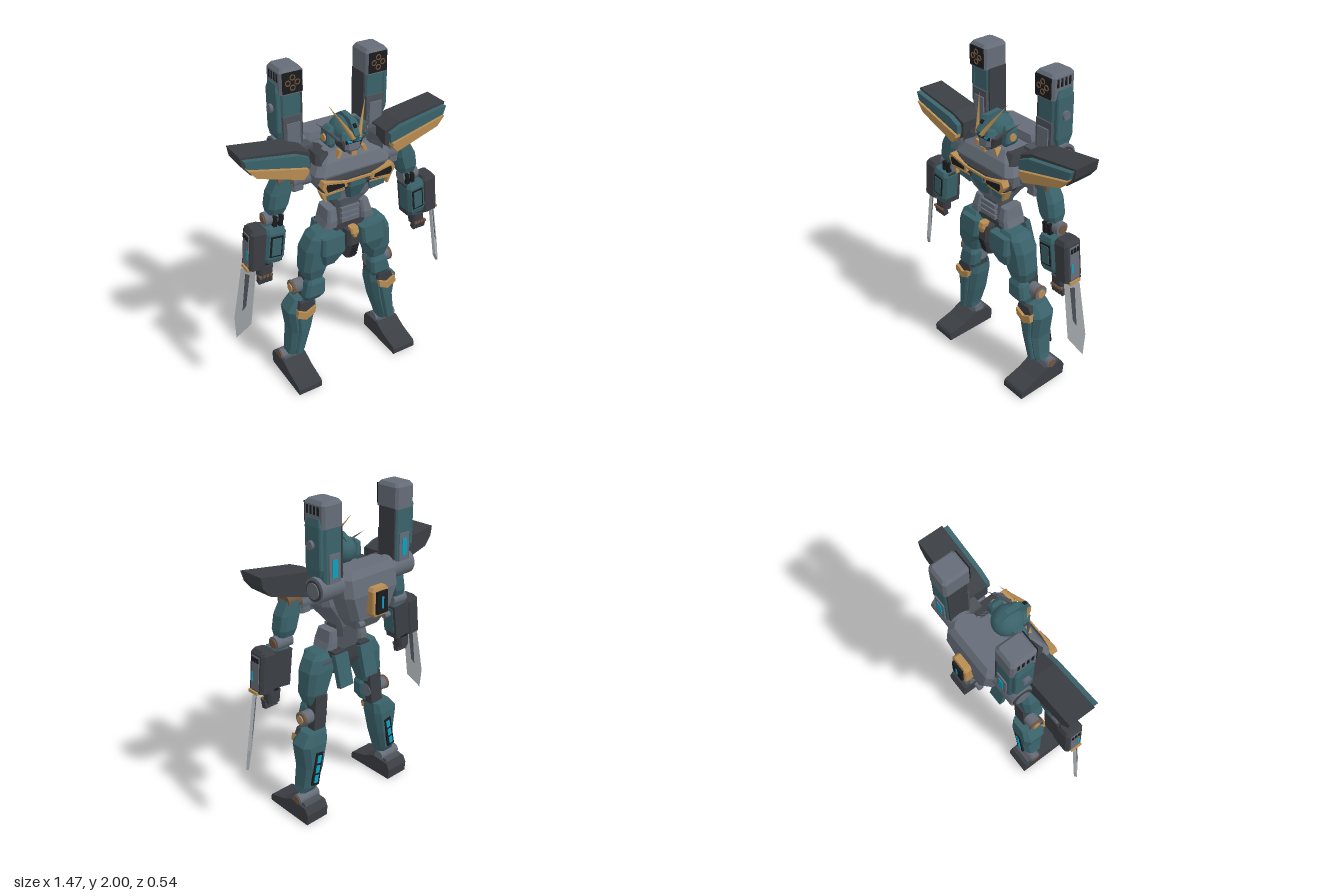
import * as THREE from 'three';

const M = {};
for (const [name, hex] of Object.entries({
  teal: 0x3a626a, steel: 0x666d78, charcoal: 0x3b3e43, black: 0x191b1e, gold: 0xb98d52,
  bronze: 0x75543c, cyan: 0x0aa0c0, silver: 0xa9aeb1, gunmetal: 0x4d525a,
})) {
  M[name] = new THREE.MeshStandardMaterial({ color: hex });
  M[name].name = name;
}

export function createModel() {
  const model = new THREE.Group();
  model.name = 'robot';
  const half = new THREE.Group(); // parts on the +x side, mirrored at the end
  let target = model;

  function add(name, mat, geo, x = 0, y = 0, z = 0, rx = 0, ry = 0, rz = 0) {
    const mesh = new THREE.Mesh(geo, M[mat]);
    mesh.name = name;
    mesh.position.set(x, y, z);
    mesh.rotation.set(rx, ry, rz, 'ZYX');
    target.add(mesh);
    return mesh;
  }
  const box = (name, mat, w, h, d, ...at) => add(name, mat, new THREE.BoxGeometry(w, h, d), ...at);

  // Chamfered rectangular sections, bottom to top: [y, x0, x1, z0, z1]
  function loft(name, mat, rings, cut = 0.2, ...at) {
    const loops = rings.map(([y, x0, x1, z0, z1]) => {
      const c = cut * Math.min(x1 - x0, z1 - z0);
      return [[x1, z0 + c], [x1, z1 - c], [x1 - c, z1], [x0 + c, z1],
        [x0, z1 - c], [x0, z0 + c], [x0 + c, z0], [x1 - c, z0]].map(([x, z]) => [x, y, z]);
    });
    const pos = [];
    const tri = (...p) => p.forEach(v => pos.push(...v));
    for (let r = 0; r + 1 < loops.length; r++) {
      const a = loops[r], b = loops[r + 1];
      for (let i = 0; i < 8; i++) {
        const j = (i + 1) % 8;
        tri(a[i], b[i], a[j]);
        tri(a[j], b[i], b[j]);
      }
    }
    const lo = loops[0], hi = loops[loops.length - 1];
    for (let i = 1; i < 7; i++) {
      tri(lo[0], lo[i], lo[i + 1]);
      tri(hi[0], hi[i + 1], hi[i]);
    }
    const g = new THREE.BufferGeometry();
    g.setAttribute('position', new THREE.Float32BufferAttribute(pos, 3));
    g.computeVertexNormals();
    return add(name, mat, g, ...at);
  }
  // Outline in x,y extruded from z0 to z1
  const outline = (pts, depth) => new THREE.ExtrudeGeometry(
    new THREE.Shape(pts.map(p => new THREE.Vector2(...p))), { depth, bevelEnabled: false });
  const plate = (name, mat, pts, z0, z1) => add(name, mat, outline(pts, z1 - z0), 0, 0, z0);
  // Outline in z,y extruded from x0 to x1
  const side = (name, mat, pts, x0, x1) =>
    add(name, mat, outline(pts, x1 - x0).rotateY(-Math.PI / 2), x1);
  // Cylinder along x
  const axle = (name, mat, r, x0, x1, y, z, n = 20) => add(name, mat,
    new THREE.CylinderGeometry(r, r, x1 - x0, n).rotateZ(Math.PI / 2), (x0 + x1) / 2, y, z);

  // Torso
  loft('chest', 'steel', [[1.18, -.07, .07, 0, .13], [1.25, -.12, .12, -.02, .17], [1.36, -.22, .22, -.05, .19],
    [1.44, -.24, .24, -.05, .2], [1.5, -.2, .2, -.05, .17], [1.54, -.14, .14, -.05, .12]], .14);
  loft('chestShelf', 'charcoal', [[1.33, -.2, .2, .1, .2], [1.36, -.22, .22, .1, .22], [1.41, -.22, .22, .1, .22], [1.43, -.2, .2, .1, .2]]);
  loft('chestPanel', 'teal', [[1.26, -.045, .045, .1, .19], [1.35, -.075, .075, .1, .225], [1.39, -.06, .06, .1, .225]]);
  box('chestBrow', 'gold', .17, .012, .02, 0, 1.395, .222);
  loft('neck', 'charcoal', [[1.5, -.05, .05, .02, .12], [1.58, -.04, .04, .03, .11]]);
  loft('abdomen', 'gunmetal', [[1.04, -.1, .1, 0, .12], [1.12, -.075, .075, 0, .14], [1.2, -.08, .08, 0, .13]]);
  for (const y of [1.09, 1.125, 1.16]) box('abdomenRib', 'steel', .12, .026, .03, 0, y, .135);

  // Pelvis and crotch guard
  loft('pelvis', 'charcoal', [[.88, -.05, .05, .02, .12], [.96, -.13, .13, 0, .13], [1.06, -.13, .13, 0, .13]]);
  loft('crotchGuard', 'charcoal', [[.83, -.035, .035, .1, .17], [.93, -.045, .045, .1, .2], [1.03, -.04, .04, .1, .19]]);
  loft('crotchCrest', 'gold', [[.99, -.012, .012, .17, .205], [1.02, -.025, .025, .17, .21], [1.05, -.025, .025, .15, .2]]);
  for (let i = 0; i < 4; i++) box('crotchVent', 'black', .045, .012, .008, 0, .86 + i * .023, .182 + i * .006);

  // Head
  const helmet = add('helmet', 'teal', new THREE.SphereGeometry(.085, 24, 16), 0, 1.625, .07);
  helmet.scale.set(1, 1, 1.08);
  loft('face', 'steel', [[1.52, -.025, .025, .08, .17], [1.55, -.05, .05, .06, .18], [1.61, -.055, .055, .06, .17]]);
  box('chin', 'gold', .035, .022, .03, 0, 1.525, .165);
  box('visor', 'black', .1, .024, .01, 0, 1.6, .172);
  loft('helmetBrow', 'teal', [[1.612, -.07, .07, .07, .185], [1.64, -.06, .06, .06, .17], [1.66, -.04, .04, .06, .14]]);
  side('helmetCrest', 'teal', [[.2, 1.61], [.21, 1.645], [.15, 1.72], [.06, 1.73], [0, 1.69], [.06, 1.66]], -.016, .016);
  box('crestCamera', 'black', .018, .024, .008, 0, 1.69, .18, -.85);

  // Backpack
  loft('backpack', 'steel', [[1.23, -.09, .09, -.16, -.03], [1.3, -.14, .14, -.2, -.03], [1.45, -.2, .2, -.215, -.03],
    [1.55, -.2, .2, -.2, -.03], [1.59, -.17, .17, -.17, -.04]]);
  loft('thrusterFrame', 'gold', [[1.32, -.045, .045, -.25, -.2], [1.34, -.06, .06, -.255, -.2], [1.47, -.06, .06, -.255, -.2], [1.49, -.045, .045, -.25, -.2]], .1);
  box('thrusterCore', 'black', .08, .13, .03, 0, 1.405, -.255);
  box('thrusterGlow', 'cyan', .012, .07, .006, 0, 1.405, -.271);

  target = half;
  // Chest vents and collar
  plate('chestVent', 'gold', [[.075, 1.37], [.085, 1.405], [.22, 1.43], [.235, 1.4], [.21, 1.36]], .19, .235);
  plate('chestVentSlot', 'black', [[.095, 1.377], [.1, 1.395], [.205, 1.415], [.21, 1.395], [.2, 1.37]], .235, .24);
  plate('chestRib', 'gold', [[.08, 1.35], [.2, 1.345], [.23, 1.36], [.205, 1.3], [.195, 1.3], [.2, 1.335], [.08, 1.34]], .17, .215);
  plate('chestLower', 'teal', [[.085, 1.335], [.195, 1.33], [.19, 1.29], [.1, 1.28]], .13, .195);
  box('collar', 'gold', .02, .07, .04, .085, 1.515, .14, 0, 0, .4);
  loft('collarGuard', 'charcoal', [[1.49, .1, .22, -.02, .16], [1.54, .12, .2, -.02, .12]]);
  box('collarBar', 'gunmetal', .1, .06, .08, .22, 1.53, -.01);
  axle('backNozzle', 'steel', .018, .08, .12, 1.28, -.2);

  // Head details
  loft('earPod', 'teal', [[1.555, .08, .11, .04, .11], [1.58, .08, .13, .03, .12], [1.65, .08, .125, .03, .11], [1.67, .08, .1, .04, .1]]);
  axle('earDisc', 'gold', .022, .12, .136, 1.61, .075);
  plate('eye', 'cyan', [[.012, 1.594], [.014, 1.602], [.046, 1.61], [.04, 1.595]], .176, .181);
  loft('cheek', 'charcoal', [[1.535, .03, .05, .07, .16], [1.6, .05, .075, .06, .16]]);
  const horn = (name, mat, r, a, b) => {
    const d = new THREE.Vector3(...b).sub(new THREE.Vector3(...a));
    const m = add(name, mat, new THREE.ConeGeometry(r, d.length(), 4), ...a.map((v, i) => (v + b[i]) / 2));
    m.quaternion.setFromUnitVectors(new THREE.Vector3(0, 1, 0), d.normalize());
  };
  horn('crestHorn', 'gold', .016, [.015, 1.625, .2], [.115, 1.8, .1]);
  horn('sideHorn', 'gunmetal', .013, [.08, 1.61, .15], [.17, 1.7, .06]);

  // Back cannon
  axle('cannonPivot', 'steel', .072, .15, .35, 1.52, -.105, 24);
  axle('pivotRing', 'charcoal', .058, .35, .357, 1.52, -.105, 24);
  axle('pivotCap', 'steel', .046, .357, .363, 1.52, -.105, 24);
  loft('cannonBody', 'teal', [[1.54, .2, .325, -.165, -.03], [1.88, .2, .325, -.165, -.03]], .1);
  loft('cannonHead', 'steel', [[1.86, .195, .335, -.17, -.01], [1.98, .195, .335, -.17, -.01], [2, .21, .32, -.155, -.025]], .1);
  loft('cannonOuterPlate', 'teal', [[1.6, .32, .345, -.14, -.05], [1.64, .32, .35, -.155, -.035], [1.87, .32, .35, -.155, -.035], [1.91, .32, .34, -.14, -.05]]);
  box('cannonInnerPlate', 'charcoal', .01, .31, .12, .198, 1.71, -.098);
  box('cannonLowerFront', 'gunmetal', .115, .2, .02, .262, 1.63, -.03);
  box('cannonFrontRib', 'steel', .08, .14, .01, .262, 1.62, -.017);
  axle('cannonKnob', 'steel', .026, .34, .368, 1.77, -.09, 8);
  box('muzzle', 'black', .115, .115, .008, .265, 1.925, -.009);
  for (let i = 0; i < 4; i++) {
    const a = i * Math.PI / 2;
    add('muzzleRing', 'bronze', new THREE.TorusGeometry(.014, .0035, 6, 12),
      .265 + .028 * Math.cos(a), 1.925 + .028 * Math.sin(a), -.004);
    box('headSlit', 'black', .006, .045, .014, .334, 1.95, -.045 - i * .028);
  }
  box('rearFrame', 'steel', .075, .16, .012, .262, 1.64, -.167);
  box('rearGlow', 'cyan', .035, .1, .006, .262, 1.64, -.174);

  // Shoulder wing
  plate('shoulderWing', 'charcoal', [[.24, 1.48], [.3, 1.45], [.59, 1.535], [.635, 1.59], [.645, 1.65], [.33, 1.605], [.24, 1.57]], -.04, .12);
  plate('wingFront', 'teal', [[.26, 1.5], [.62, 1.59], [.635, 1.638], [.33, 1.588], [.26, 1.555]], .12, .15);
  plate('wingTrim', 'gold', [[.27, 1.475], [.3, 1.44], [.575, 1.53], [.62, 1.585], [.27, 1.497]], .12, .16);
  axle('shoulderJoint', 'steel', .055, .2, .34, 1.41, .06);
  loft('shoulderBlock', 'steel', [[1.35, .27, .35, .01, .11], [1.46, .27, .35, .01, .11]]);
  axle('shoulderRing', 'bronze', .05, .34, .43, 1.43, .06);

  // Arm
  loft('upperArm', 'teal', [[1.24, .385, .485, .015, .105], [1.28, .37, .49, 0, .12], [1.36, .345, .475, 0, .12], [1.44, .345, .43, .01, .11]]);
  axle('elbow', 'steel', .04, .4, .51, 1.205, .06);
  axle('elbowRing', 'bronze', .026, .51, .517, 1.205, .06);
  for (const x of [.425, .46]) box('elbowPiston', 'black', .022, .08, .025, x, 1.19, .1, 0, 0, .12);
  box('forearmCore', 'charcoal', .2, .22, .09, .52, 1.06, .07, 0, 0, .12);
  loft('forearmGuard', 'teal', [[-.11, -.05, .055, -.05, .05], [-.08, -.062, .062, -.055, .06], [.08, -.062, .062, -.055, .06], [.105, -.05, .055, -.05, .05]], .15, .478, 1.065, .085, 0, 0, .12);
  box('guardInset', 'black', .075, .13, .006, .478, 1.065, .146, 0, 0, .12);
  box('guardPanel', 'teal', .055, .11, .006, .478, 1.065, .15, 0, 0, .12);
  loft('swordMount', 'charcoal', [[-.125, -.05, .05, -.06, .06], [.1, -.05, .05, -.06, .06], [.125, -.035, .035, -.045, .045]], .15, .578, 1.065, .078, 0, 0, .1);
  box('mountPanel', 'steel', .008, .2, .065, .629, 1.06, .078, 0, 0, .1);
  box('mountGlow', 'cyan', .004, .055, .012, .638, 1.035, .1, 0, 0, .1);
  for (const z of [.055, .078, .1]) box('mountSlit', 'black', .006, .025, .013, .628, 1.14, z, 0, 0, .1);

  // Hand
  box('wrist', 'black', .06, .05, .05, .525, .935, .07, 0, 0, .12);
  loft('palm', 'charcoal', [[.85, .49, .57, .04, .11], [.92, .48, .57, .04, .11]]);
  for (let i = 0; i < 4; i++) {
    box('finger', 'charcoal', .018, .05, .035, .503 + i * .022, .838, .09, .2);
    box('knuckle', 'bronze', .016, .014, .02, .503 + i * .022, .862, .108);
  }

  // Sword
  box('swordGuard', 'gold', .105, .016, .075, .6, .94, .085, 0, 0, .12);
  const blade = [[-.042, 0], [-.05, -.36], [.025, -.475], [.05, -.34], [.042, 0]];
  add('blade', 'silver', outline(blade, .016).translate(0, 0, -.008), .63, .935, .092, 0, .8, .17);
  add('bladeFuller', 'gunmetal', outline([[-.012, -.03], [-.012, -.24], [.006, -.28], [.014, -.03]], .019).translate(0, 0, -.0095), .63, .935, .092, 0, .8, .17);

  // Hip and thigh
  loft('hipSkirt', 'steel', [[1.06, .08, .165, 0, .15], [1.1, .08, .15, 0, .15], [1.17, .08, .135, .01, .13]]);
  axle('hipJoint', 'gunmetal', .045, .08, .2, .98, .05);
  loft('thigh', 'teal', [[.73, .16, .28, .02, .13], [.8, .14, .3, .01, .15], [.94, .09, .285, 0, .16], [1.01, .07, .25, .01, .16], [1.04, .1, .21, .03, .14]]);
  loft('frontSkirt', 'teal', [[.84, .12, .19, .13, .18], [.92, .06, .21, .13, .205], [1.02, .055, .2, .12, .19]]);
  box('rearSkirt', 'teal', .1, .2, .035, .1, .94, -.05, .25);
  box('rearSkirtHinge', 'charcoal', .08, .04, .06, .1, 1.03, 0);
  box('thighFrame', 'charcoal', .09, .22, .08, .23, .68, .04, 0, 0, .1);

  // Knee
  axle('knee', 'steel', .043, .18, .35, .66, .045);
  axle('kneeRing', 'bronze', .046, .335, .348, .66, .045);
  axle('kneeCap', 'gold', .026, .35, .358, .66, .045);
  loft('kneeGuard', 'teal', [[.575, .19, .29, .05, .12], [.62, .165, .3, .06, .15], [.7, .16, .28, .06, .145], [.75, .19, .25, .07, .12]]);

  // Shin
  loft('shin', 'teal', [[.17, .28, .395, -.01, .09], [.21, .275, .385, -.03, .1], [.34, .235, .37, -.045, .105], [.5, .2, .39, -.05, .11], [.57, .2, .335, -.035, .09]]);
  loft('shinRidge', 'teal', [[.18, .31, .36, .06, .115], [.35, .27, .335, .07, .125], [.46, .25, .34, .08, .125]]);
  plate('shinCollar', 'charcoal', [[.225, .53], [.235, .57], [.32, .57], [.345, .52], [.29, .49]], .08, .118);
  plate('shinCrest', 'gold', [[.23, .53], [.235, .485], [.295, .45], [.355, .485], [.345, .53], [.29, .5]], .08, .135);
  box('calfVent', 'black', .055, .22, .012, .308, .34, -.046, 0, 0, .19);
  for (const [x, y] of [[.322, .275], [.308, .34], [.294, .405]])
    box('calfGlow', 'cyan', .028, .05, .006, x, y, -.053, 0, 0, .19);

  // Ankle and foot
  axle('ankle', 'steel', .035, .275, .425, .135, .01);
  axle('ankleRing', 'bronze', .026, .425, .431, .135, .01);
  side('foot', 'charcoal', [[-.085, 0], [-.092, .07], [-.07, .11], [.06, .12], [.14, .08], [.255, .05], [.265, .035], [.265, 0]], .27, .43);
  side('heelTrim', 'gunmetal', [[-.06, .1], [-.05, .13], [.04, .135], [.07, .105]], .285, .415);

  // Mirror the half to the other side
  half.name = 'leftSide';
  model.add(half);
  half.updateMatrixWorld(true);
  const other = new THREE.Group();
  other.name = 'rightSide';
  half.children.forEach(m => {
    const g = (m.geometry.index ? m.geometry.toNonIndexed() : m.geometry.clone());
    g.applyMatrix4(m.matrixWorld).scale(-1, 1, 1);
    for (const key of ['position', 'normal']) {
      const a = g.attributes[key];
      for (let i = 0; i < a.count; i += 3) {
        const p = [a.getX(i + 1), a.getY(i + 1), a.getZ(i + 1)];
        a.setXYZ(i + 1, a.getX(i + 2), a.getY(i + 2), a.getZ(i + 2));
        a.setXYZ(i + 2, ...p);
      }
    }
    // Normals are rebuilt from the mirrored source rather than the inverse scale
    g.attributes.normal.needsUpdate = true;
    const mesh = new THREE.Mesh(g, m.material);
    mesh.name = m.name;
    other.add(mesh);
  });
  model.add(other);
  return model;
}
